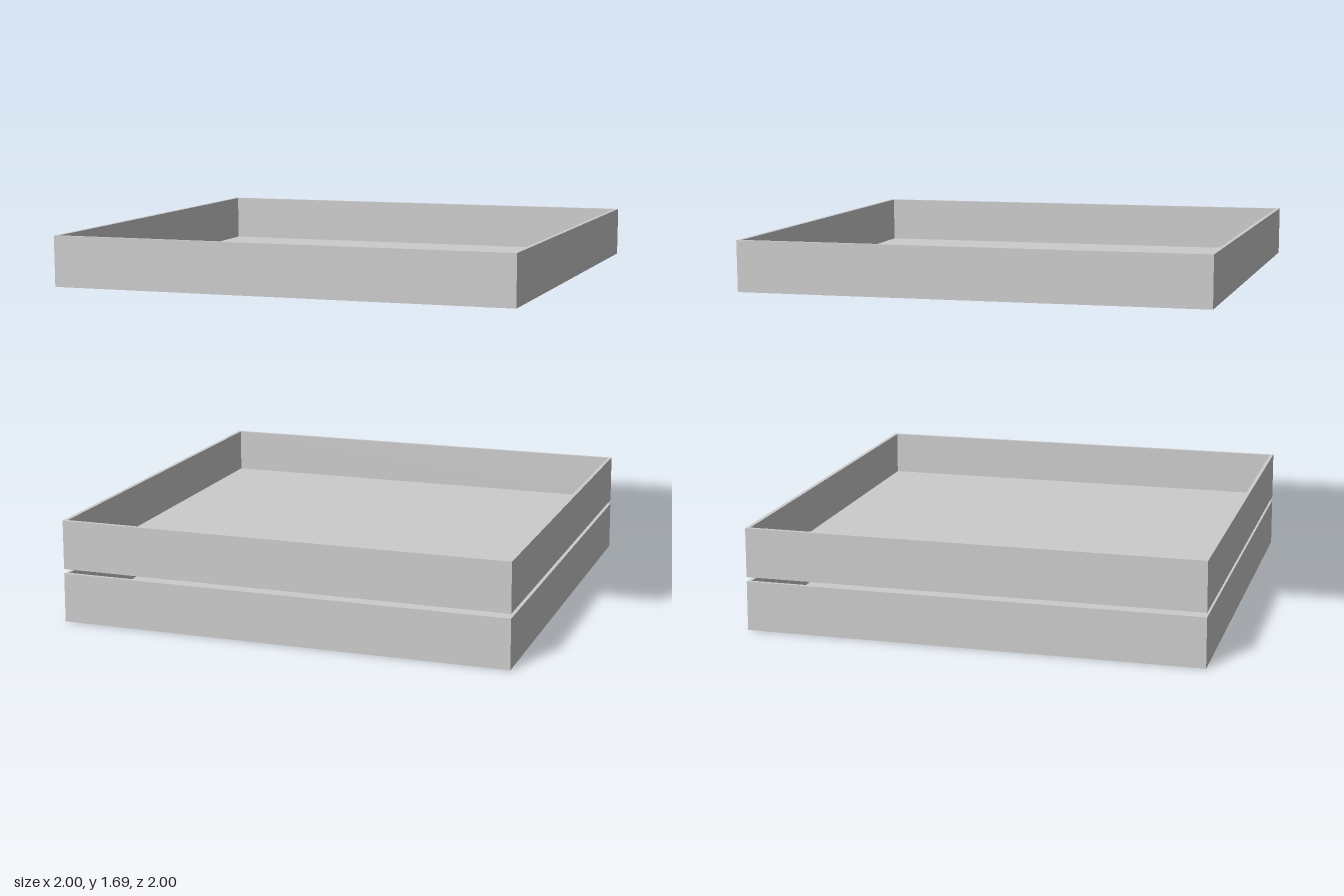
import * as THREE from 'three';

const HEIGHT = 0.217; // tray height
const WALL = 0.017;   // wall and floor thickness

// Open square tray: a four-sided lathe of the outer wall, rim, inner wall and floor
function trayGeometry() {
  const outer = Math.SQRT2;
  const inner = (1 - WALL) * Math.SQRT2;
  const profile = [
    [0, 0], [outer, 0], [outer, HEIGHT], [inner, HEIGHT], [inner, WALL], [0, WALL],
  ].map(([r, y]) => new THREE.Vector2(r, y));
  const geometry = new THREE.LatheGeometry(profile, 4, Math.PI / 4).toNonIndexed();
  geometry.computeVertexNormals();
  return geometry;
}

export function createModel() {
  const model = new THREE.Group();
  model.name = 'trayStack';
  const material = new THREE.MeshStandardMaterial({ color: 0xcccccc, flatShading: true });
  const geometry = trayGeometry();

  // Two trays close together at the bottom, one raised high above
  const levels = { bottomTray: 0, middleTray: 0.237, topTray: 1.472 };
  for (const [name, y] of Object.entries(levels)) {
    const tray = new THREE.Mesh(geometry, material);
    tray.name = name;
    tray.position.y = y;
    model.add(tray);
  }
  return model;
}
